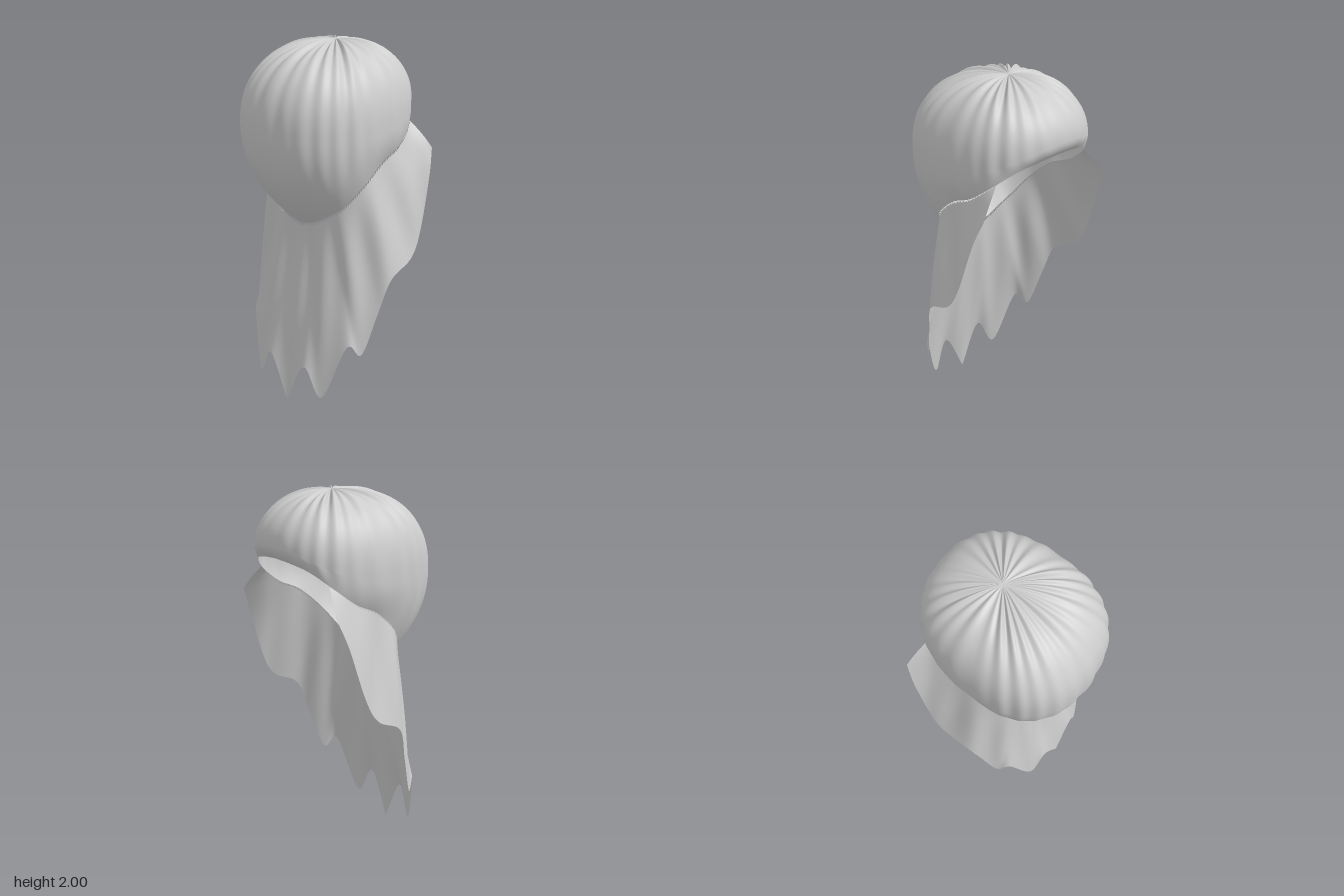
import * as THREE from 'three';
import { mergeVertices } from 'three/addons/utils/BufferGeometryUtils.js';

const V = (x, y, z) => new THREE.Vector3(x, y, z);
const curve = (pts) => new THREE.CatmullRomCurve3(pts.map((p) => V(...p)), false, 'catmullrom', 0.5);

// Half of the slanted opening, from the chin (front) round the left side to the back
const rim = curve([
  [0, 1.04, 0.2], [0.1, 1.07, 0.2], [0.19, 1.12, 0.19], [0.27, 1.18, 0.165],
  [0.34, 1.29, 0.09], [0.36, 1.4, -0.04], [0.36, 1.46, -0.17], [0.33, 1.55, -0.29],
  [0.24, 1.63, -0.375], [0.12, 1.66, -0.41], [0, 1.67, -0.42],
]);

// Half of the ragged hem, from the centre tip to the upper back corner
const hem = curve([
  [0, 0.005, 0.33], [0.13, 0.26, 0.325], [0.24, 0.1, 0.3], [0.355, 0.42, 0.225],
  [0.405, 0.37, 0.16], [0.45, 0.6, 0.085], [0.485, 0.79, 0.02], [0.495, 0.87, -0.13],
  [0.49, 1.0, -0.21], [0.47, 1.28, -0.3], [0.44, 1.43, -0.355],
]);

// Smooth sheet mirrored in x: fn(u 0..1 from front to back, v 0..1 downwards) gives the +x half
function sheet(nu, nv, fn) {
  const pos = [], index = [];
  for (let j = 0; j <= nv; j++) {
    for (let i = 0; i <= nu; i++) {
      const u = (2 * i) / nu - 1;
      const p = fn(Math.abs(u), j / nv);
      pos.push(p.x * Math.sign(u), p.y, p.z);
    }
  }
  for (let j = 0; j < nv; j++) {
    for (let i = 0; i < nu; i++) {
      const a = j * (nu + 1) + i, b = a + nu + 1;
      if (j > 0) index.push(a, b, a + 1);
      index.push(b, b + 1, a + 1);
    }
  }
  const g = new THREE.BufferGeometry();
  g.setAttribute('position', new THREE.Float32BufferAttribute(pos, 3));
  g.setIndex(index);
  const merged = mergeVertices(g, 1e-5);
  merged.computeVertexNormals();
  return merged;
}

// Gathered hood: domed crown down to the widest line, then tucked in to the rim
function hoodPoint(u, v) {
  const a = u * Math.PI;
  const c = Math.cos(a);
  const ex = 0.4 * Math.pow(Math.max(Math.sin(a), 0), 0.833);
  const ez = 0.455 * Math.sign(c) * Math.pow(Math.abs(c), 0.833);
  const ey = 1.56 + 0.18 * THREE.MathUtils.smoothstep(u, 0.45, 1);
  const pleat = Math.cos(26 * a) * (0.7 + 0.3 * Math.cos(5 * a + 1)) + 0.35 * Math.cos(15 * a);
  const p = V(0, 0, 0);
  if (v < 0.6) {
    const phi = (v / 0.6) * Math.PI / 2;
    const n = 2.4 - 0.4 * THREE.MathUtils.smoothstep(u, 0.5, 1);
    const f = Math.pow(Math.sin(phi), 2 / n);
    const h = Math.pow(Math.max(Math.cos(phi), 0), 2 / n);
    const r = f * (1 + 0.011 * pleat);
    p.set(ex * r, ey + (2 - ey) * h + 0.011 * pleat * Math.sin(Math.PI * f) * h - 0.004 * (1 - f), -0.07 + (ez + 0.07) * r);
  } else {
    const s = (v - 0.6) / 0.4;
    const r = 1 + 0.011 * pleat * (1 - s);
    p.set(ex * r, ey, -0.07 + (ez + 0.07) * r);
    const end = rim.getPoint(u);
    const t = Math.pow(s, 2.2);
    p.set(p.x + (end.x - p.x) * t, ey + (end.y - ey) * s, p.z + (end.z - p.z) * t);
  }
  return p;
}

// Hanging cloth from the rim to the hem, with folds that end in the hem tips
function drapePoint(w, v) {
  const p = rim.getPoint(0.72 * w);
  const h = hem.getPoint(w);
  const t = Math.pow(v, 1.4 - 0.4 * Math.min(1, w * 2));
  p.set(p.x + (h.x - p.x) * v, p.y + (h.y - p.y) * v, p.z + (h.z - p.z) * t);
  const fold = 0.018 * Math.cos(10 * Math.PI * w) * Math.sin(Math.PI * v) * (1 - 0.6 * w);
  const out = V(h.x, 0, h.z + 0.1).normalize();
  return w === 0 ? p.setZ(p.z + fold) : p.addScaledVector(out, fold);
}

export function createModel() {
  const cloth = new THREE.MeshStandardMaterial({ name: 'greyCloth', color: 0xcccccc });
  cloth.side = THREE.DoubleSide;
  const group = new THREE.Group();
  group.name = 'drapedHood';
  const add = (name, geometry) => {
    const mesh = new THREE.Mesh(geometry, cloth);
    mesh.name = name;
    group.add(mesh);
  };
  add('hood', sheet(260, 50, hoodPoint));
  add('drape', sheet(160, 40, drapePoint));
  return group;
}
